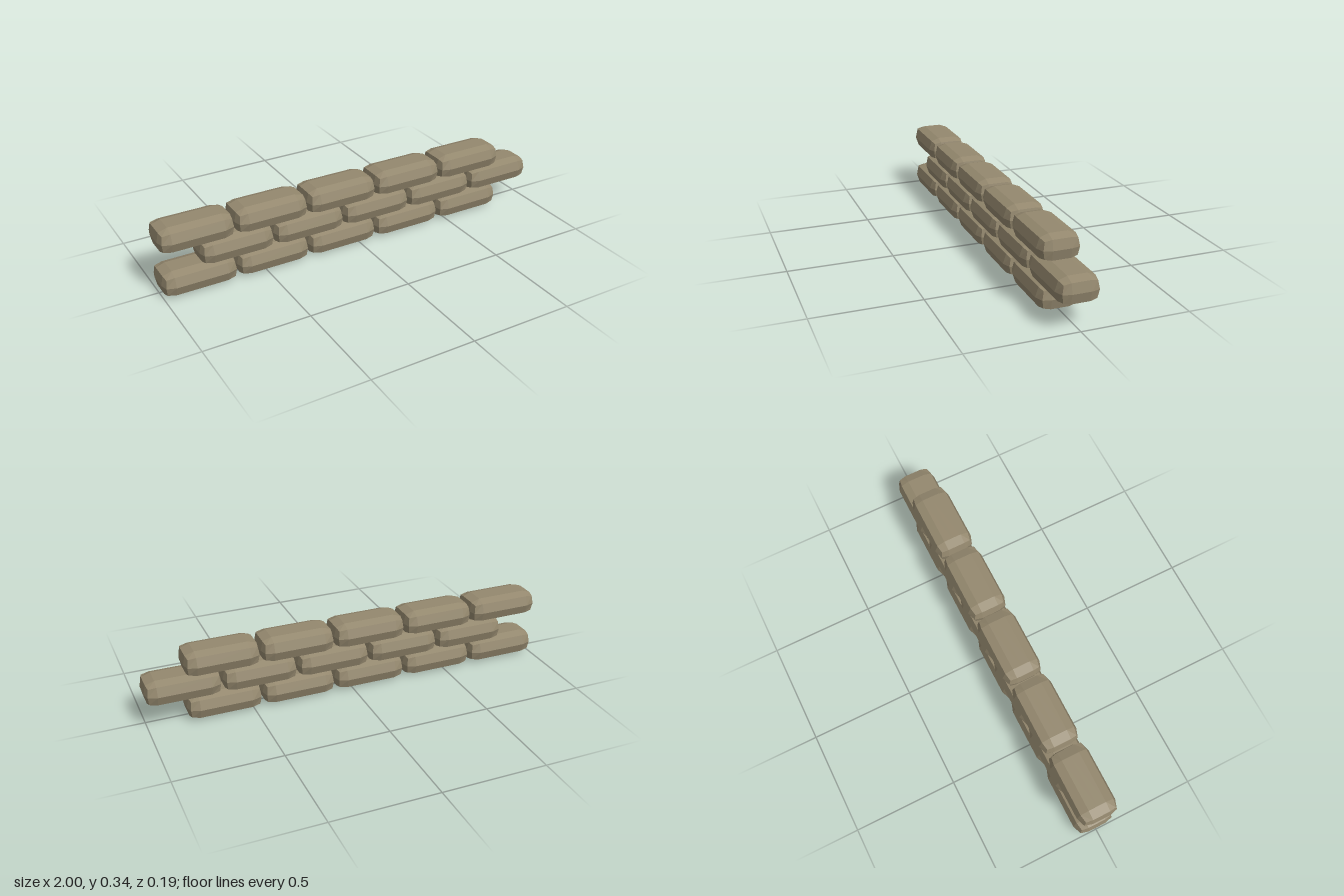
import * as THREE from 'three';

// One stuffed sack: a coarse box whose sides and ends are puffed out
function bagGeometry() {
  const box = new THREE.BoxGeometry(2, 2, 2, 3, 2, 4);
  const p = box.attributes.position;
  for (let i = 0; i < p.count; i++) {
    const x = p.getX(i), y = p.getY(i), z = p.getZ(i);
    const end = Math.abs(x) > 0.9;
    const rim = Math.abs(y) > 0.9;      // top and bottom rows
    const side = Math.abs(z) > 0.9;     // front and back columns

    let px = 0.125;
    if (end) px = rim && side ? 0.163 : rim || side ? 0.168 : 0.178;

    let py = 0;
    if (rim) py = end ? (side ? 0.039 : 0.046) : (side ? 0.045 : 0.06);

    let pz = 0;
    if (side) pz = end ? (rim ? 0.075 : 0.082) : (rim ? 0.082 : 0.097);
    else if (Math.abs(z) > 0.1) pz = 0.043;

    p.setXYZ(i, Math.sign(x) * px, Math.sign(y) * py, Math.sign(z) * pz);
  }
  // Separate faces give crisp facets
  const flat = box.toNonIndexed();
  flat.computeVertexNormals();
  return flat;
}

export function createModel() {
  const model = new THREE.Group();
  model.name = 'sandbagWall';
  const burlap = new THREE.MeshStandardMaterial({ color: 0x94886e });
  burlap.name = 'burlap';
  const geometry = bagGeometry();

  // Three rows of five bags, the middle one shifted by half a bag
  for (let row = 0; row < 3; row++) {
    const course = new THREE.Group();
    course.name = ['bottomRow', 'middleRow', 'topRow'][row];
    course.position.set(row === 1 ? 0.094 : -0.094, 0.06 + row * 0.11, 0);
    for (let i = 0; i < 5; i++) {
      const bag = new THREE.Mesh(geometry, burlap);
      bag.name = 'sandbag';
      bag.position.x = (i - 2) * 0.364;
      course.add(bag);
    }
    model.add(course);
  }
  return model;
}
